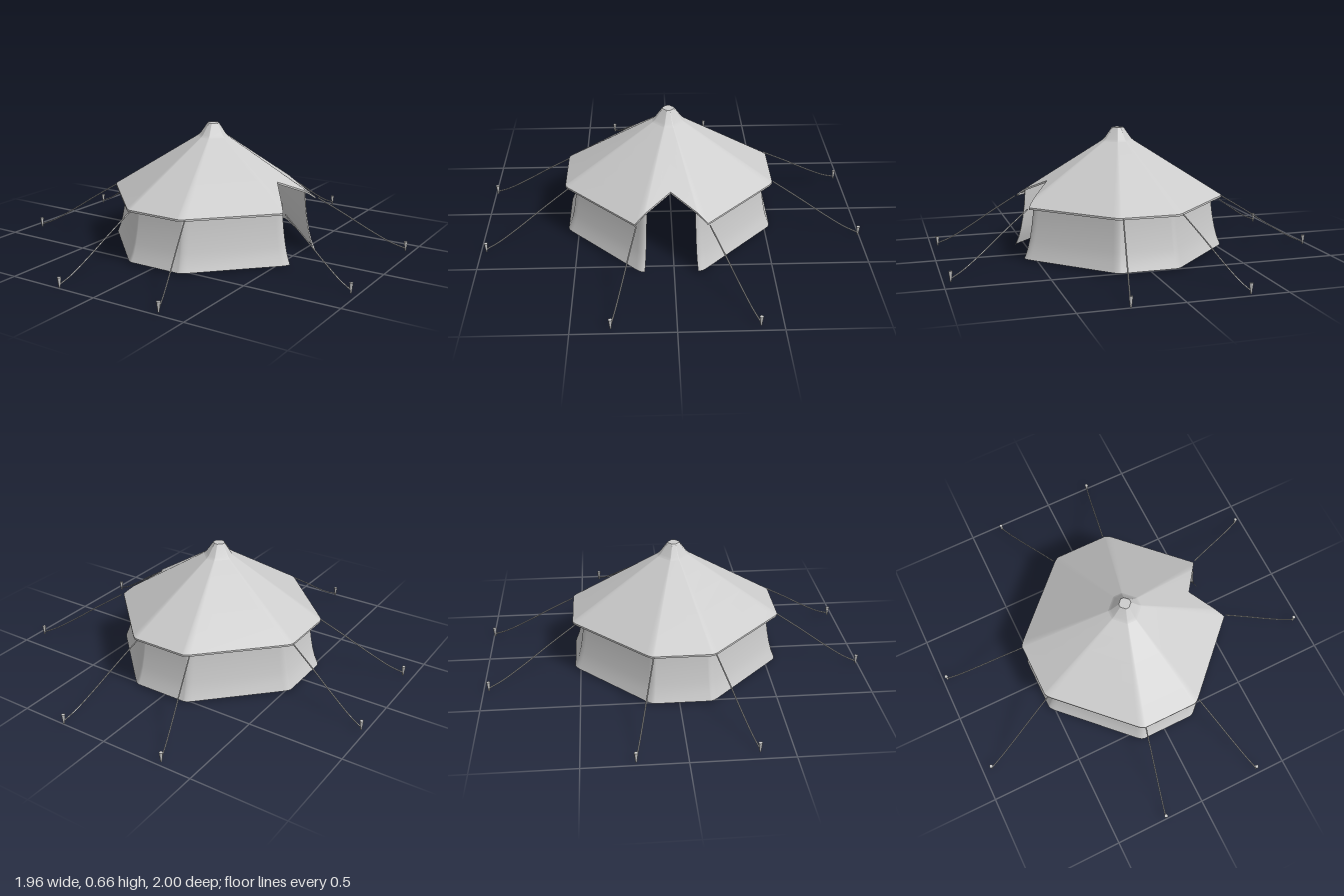
import * as THREE from 'three';

const CX = 0.017, CZ = 0.014;          // tent axis
const EAVE = 0.545, EAVE_Y = 0.285, TOP_R = 0.07, TOP_Y = 0.595;

const canvas = new THREE.MeshStandardMaterial({ color: 0xcccccc, side: THREE.DoubleSide });
const solid = new THREE.MeshStandardMaterial({ color: 0xcccccc });

// Octagon outline (apothem 1) with softened corners, from the +x side round through +z
function octagon() {
  const corner = new THREE.QuadraticBezierCurve(
    new THREE.Vector2(1, 0.26), new THREE.Vector2(1, 0.288), new THREE.Vector2(0.96, 0.33)
  ).getPoints(4).map(p => [p.x, p.y]);
  const quarter = [...corner, ...corner.map(([x, z]) => [z, x]).reverse()];
  const points = [];
  for (let k = 0; k < 4; k++) {
    for (const p of quarter) {
      let [x, z] = p;
      for (let i = 0; i < k; i++) [x, z] = [-z, x];
      points.push([x, z]);
    }
  }
  return points;
}

// Surface through rows of the outline, bottom to top; row(point, j) gives [scale, y]
function loft(outline, rows, row) {
  const pos = [], idx = [], n = outline.length;
  for (let j = 0; j < rows; j++) {
    for (const p of outline) {
      const [s, y] = row(p, j);
      pos.push(p[0] * s, y, p[1] * s);
    }
  }
  for (let j = 0; j < rows - 1; j++) {
    for (let i = 0; i < n - 1; i++) {
      const a = j * n + i, b = a + 1, c = a + n, d = c + 1;
      idx.push(a, c, b, b, c, d);
    }
  }
  const g = new THREE.BufferGeometry();
  g.setAttribute('position', new THREE.Float32BufferAttribute(pos, 3));
  g.setIndex(idx);
  g.computeVertexNormals();
  return g;
}

function add(parent, name, geometry, material) {
  const mesh = new THREE.Mesh(geometry, material);
  mesh.name = name;
  parent.add(mesh);
  return mesh;
}

export function createModel() {
  const model = new THREE.Group();
  model.name = 'bellTent';
  const tent = new THREE.Group();
  tent.name = 'tentBody';
  tent.position.set(CX, 0, CZ);
  model.add(tent);

  const ring = octagon();

  // Flared wall, open at the doorway on the +x side
  const wallProfile = [[0.543, 0.01], [0.525, 0.055], [0.512, 0.105], [0.5, 0.17], [0.491, 0.24], [0.486, 0.32]];
  add(tent, 'wall', loft([[1, 0.247], ...ring, [1, -0.247]], wallProfile.length, (p, j) => wallProfile[j]), canvas);

  // Roof with a V-shaped notch over the doorway
  const roofRing = [[1, 0], [1, 0.13], ...ring, [1, -0.13], [1, 0]];
  const edge = ([x, z]) => {
    const d = x - 0.742 * Math.abs(z);
    return EAVE * (d > 0 ? Math.min(1, 0.715 / d) : 1);
  };
  const roofY = r => EAVE_Y + (EAVE - r) / (EAVE - TOP_R) * (TOP_Y - EAVE_Y);
  add(tent, 'roof', loft(roofRing, 6, (p, j) => {
    const r = THREE.MathUtils.lerp(edge(p), TOP_R, j / 5);
    return [r, roofY(r)];
  }), canvas);

  // Hem hanging from the roof edge
  add(tent, 'eaveHem', loft(roofRing, 2, (p, j) => [edge(p), roofY(edge(p)) - 0.01 * (1 - j)]), canvas);

  // Peak cap with a flat top
  const closed = [...ring, ring[0]];
  const capProfile = [[0.084, 0.586], [0.07, 0.598], [0.03, 0.657]];
  add(tent, 'peakCap', loft(closed, 3, (p, j) => capProfile[j]), canvas);
  add(tent, 'peakCapTop', loft(closed, 2, (p, j) => [j ? 0.0001 : 0.03, 0.657]), canvas);

  // Guy ropes and pegs: [eave x, eave z, peg x, peg z]
  const guys = [
    [-0.162, -0.52, -0.32, -0.973], [0.151, -0.535, 0.257, -0.994],
    [0.548, -0.175, 0.963, -0.39], [0.548, 0.187, 0.963, 0.31],
    [0.194, 0.545, 0.348, 0.972], [-0.125, 0.557, -0.215, 0.99],
    [-0.517, 0.18, -0.947, 0.335], [-0.525, -0.13, -0.974, -0.243],
  ];
  const pegShape = new THREE.CylinderGeometry(0.01, 0.004, 0.052, 8);
  for (const [x0, z0, x1, z1] of guys) {
    const at = (t, y) => new THREE.Vector3(x0 + (x1 - x0) * t, y, z0 + (z1 - z0) * t);
    const path = new THREE.CatmullRomCurve3([at(0, 0.28), at(0.3, 0.196), at(0.6, 0.108), at(0.85, 0.042), at(1, 0.015)]);
    add(model, 'guyRope', new THREE.TubeGeometry(path, 20, 0.0035, 6), solid);
    add(model, 'peg', pegShape, solid).position.set(x1, 0.026, z1);
  }
  return model;
}
